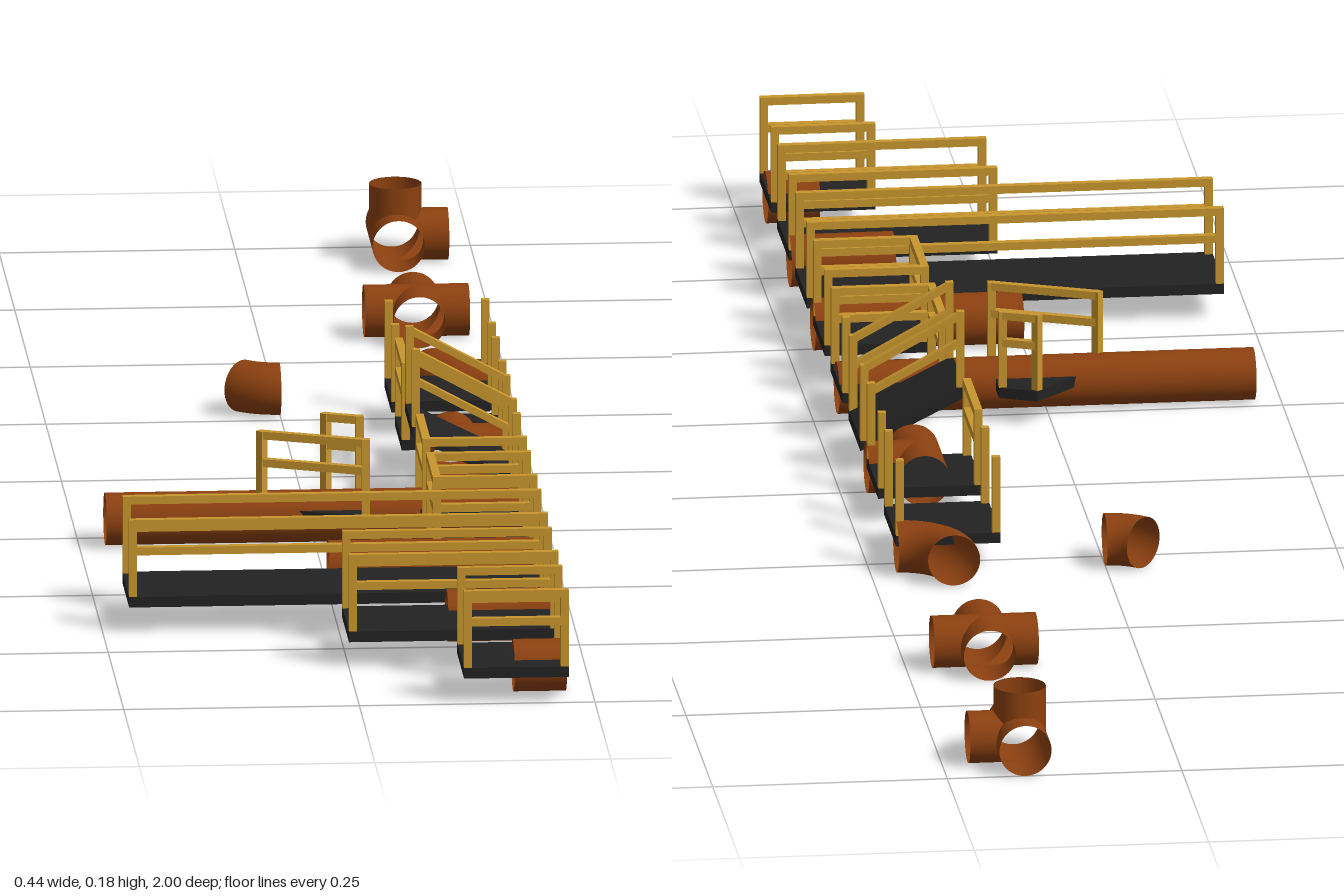
import * as THREE from 'three';

const U = 1 / 9;            // length of one kit unit
const R = U / 4;            // pipe radius, also the height of the pipe axis
const DECK = 0.0335, THICK = 0.0115, FLOOR = 0.039;
const BAR = 0.0085, TOP = 0.123, MID = 0.093;
const RIGHT = 2 * U;        // all pieces line up on this edge

const rust = new THREE.MeshStandardMaterial({ color: 0x8b4010, side: THREE.DoubleSide });
const dark = new THREE.MeshStandardMaterial({ color: 0x222222 });
const yellow = new THREE.MeshStandardMaterial({ color: 0xc8962e });
const V = (x, y, z) => new THREE.Vector3(x, y, z);

function add(parent, name, geometry, material) {
  const mesh = new THREE.Mesh(geometry, material);
  mesh.name = name;
  parent.add(mesh);
  return mesh;
}

function piece(parent, name) {
  const g = new THREE.Group();
  g.name = name;
  parent.add(g);
  return g;
}

// Bar from p to q whose ends stay upright, also when it slopes
function bar(parent, name, p, q, h = BAR, w = BAR, material = yellow) {
  const d = q.clone().sub(p);
  const side = V(-d.z, 0, d.x).normalize().multiplyScalar(w);
  const m = new THREE.Matrix4().makeBasis(d, V(0, h, 0), side);
  m.setPosition(p.clone().add(q).multiplyScalar(0.5));
  return add(parent, name, new THREE.BoxGeometry(1, 1, 1).applyMatrix4(m), material);
}

function post(parent, x, z, lift = 0, turn = 0) {
  const g = new THREE.BoxGeometry(BAR, TOP - FLOOR, BAR).rotateY(turn);
  add(parent, 'post', g.translate(x, (TOP + FLOOR) / 2 + lift, z), yellow);
}

// Upper and middle rail between two post positions [x, z, lift]
function rails(parent, a, b) {
  for (const y of [TOP, MID]) {
    bar(parent, 'rail', V(a[0], y - BAR / 2 + (a[2] || 0), a[1]), V(b[0], y - BAR / 2 + (b[2] || 0), b[1]));
  }
}

// Flat walkway, posts on its corners and rails on the listed sides
function walkway(parent, name, units, z, sides) {
  const g = piece(parent, name), len = units * U;
  const deck = new THREE.BoxGeometry(len, THICK, U);
  add(g, 'deck', deck.translate(RIGHT - len / 2, DECK, z), dark);
  const x0 = RIGHT - len + BAR / 2, x1 = RIGHT - BAR / 2;
  const z0 = z - U / 2 + BAR / 2, z1 = z + U / 2 - BAR / 2;
  for (const x of [x0, x1]) for (const pz of [z0, z1]) post(g, x, pz);
  const runs = {
    back: [[x0, z0], [x1, z0]], front: [[x0, z1], [x1, z1]],
    end: [[x0, z0], [x0, z1]],
  };
  for (const s of sides) rails(g, ...runs[s]);
}

// Ramp climbing toward -x with sloping rails on both sides
function ramp(parent, z) {
  const g = piece(parent, 'rampWalkway'), rise = U / 2;
  bar(g, 'deck', V(RIGHT, DECK, z), V(RIGHT - U, DECK + rise, z), THICK, U, dark);
  const x0 = RIGHT - U + BAR / 2, x1 = RIGHT - BAR / 2;
  for (const s of [-1, 1]) {
    const pz = z + s * (U - BAR) / 2;
    post(g, x0, pz, rise);
    post(g, x1, pz);
    rails(g, [x0, pz, rise], [x1, pz, 0]);
  }
}

// Walkway turning by 45 degrees about a point beyond its inner edge
function angledWalkway(parent, px, pz) {
  const g = piece(parent, 'angledWalkway'), turn = Math.PI / 4;
  const at = (r, a) => [px - r * Math.sin(a), pz + r * Math.cos(a)];
  const inner = U / 2, outer = 1.5 * U;
  const corners = [at(inner, 0), at(outer, 0), at(outer, turn), at(inner, turn)];
  const shape = new THREE.Shape(corners.map(([x, z]) => new THREE.Vector2(x, -z)));
  const deck = new THREE.ExtrudeGeometry(shape, { depth: THICK, bevelEnabled: false });
  add(g, 'deck', deck.rotateX(-Math.PI / 2).translate(0, DECK - THICK / 2, 0), dark);
  for (const r of [inner + BAR / 2, outer - BAR / 2]) {
    const inset = BAR / 2;
    const a = at(r, 0), b = at(r, turn);
    a[0] -= inset;
    b[0] += inset * Math.SQRT1_2;
    b[1] += inset * Math.SQRT1_2;
    post(g, ...a);
    post(g, ...b, 0, turn);
    rails(g, a, b);
  }
}

// Open pipe arms meeting at a joint, each cut where it meets the others
function joint(parent, name, x, z, dirs) {
  const g = piece(parent, name);
  for (const a of dirs) {
    const geo = new THREE.CylinderGeometry(R, R, 1, 48, 1, true);
    geo.applyQuaternion(new THREE.Quaternion().setFromUnitVectors(V(0, 1, 0), a));
    const pos = geo.attributes.position, p = V(0, 0, 0);
    for (let i = 0; i < pos.count; i++) {
      p.fromBufferAttribute(pos, i);
      const t = p.dot(a);
      p.addScaledVector(a, -t);
      const start = Math.max(0, ...dirs.filter((b) => Math.abs(b.dot(a)) < 0.5).map((b) => p.dot(b)));
      p.addScaledVector(a, t > 0 ? U / 2 : start);
      pos.setXYZ(i, p.x, p.y, p.z);
    }
    add(g, 'pipeArm', geo.translate(x, R, z), rust);
  }
}

function straightPipe(parent, units, z) {
  const geo = new THREE.CylinderGeometry(R, R, units * U, 48, 1, true).rotateZ(Math.PI / 2);
  add(parent, 'straightPipe', geo.translate(RIGHT - units * U / 2, R, z), rust);
}

// Pipe bend starting toward -x and turning to -z about (x, z)
function bend(parent, name, x, z, angle) {
  const geo = new THREE.TorusGeometry(U / 2, R, 40, 24, angle);
  geo.rotateZ(Math.PI / 2).rotateX(Math.PI / 2);
  add(parent, name, geo.translate(x, R, z), rust);
}

export function createModel() {
  const kit = new THREE.Group();
  kit.name = 'pipeAndWalkwayKit';

  // Walkways
  walkway(kit, 'shortWalkway', 1, 8.5 * U, ['back', 'front']);
  walkway(kit, 'mediumWalkway', 2, 7 * U, ['back', 'front']);
  walkway(kit, 'longWalkway', 4, 5.5 * U, ['back', 'front']);
  walkway(kit, 'endWalkway', 1, 4 * U, ['back', 'front', 'end']);
  walkway(kit, 'cornerWalkway', 1, 2.5 * U, ['front', 'end']);
  angledWalkway(kit, U / 2, 1.5 * U);
  ramp(kit, U);
  walkway(kit, 'teeWalkway', 1, -0.5 * U, ['end']);
  walkway(kit, 'crossWalkway', 1, -2 * U, []);

  // Straight pipes
  straightPipe(kit, 0.5, 8.5 * U);
  straightPipe(kit, 1, 6.5 * U);
  straightPipe(kit, 2, 4.5 * U);
  straightPipe(kit, 4, 2.5 * U);

  // Bends and joints
  bend(kit, 'elbowPipe', RIGHT, -3 * U, Math.PI / 2);
  bend(kit, 'halfElbowPipe', 0, -3 * U, Math.PI / 4);
  const px = V(1, 0, 0), nx = V(-1, 0, 0), pz = V(0, 0, 1), nz = V(0, 0, -1), up = V(0, 1, 0);
  const jx = RIGHT - U / 2;
  joint(kit, 'teePipe', jx, 0, [px, pz, nz]);
  joint(kit, 'crossPipe', jx, -5.5 * U, [px, nx, pz, nz]);
  joint(kit, 'fourWayPipe', jx, -8.5 * U, [px, pz, nz, up]);
  return kit;
}
